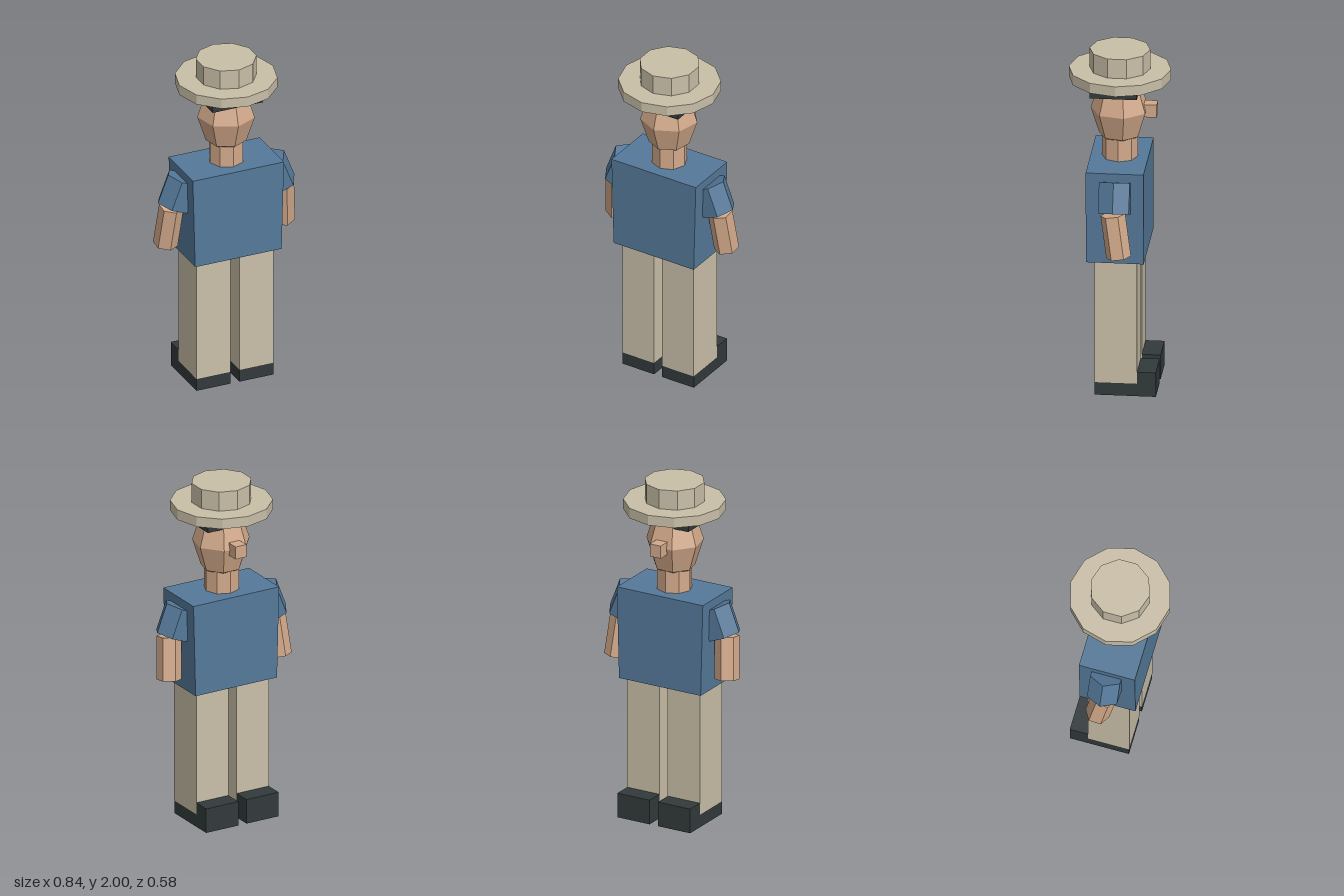
import * as THREE from 'three';

const paint = (name, color) => {
  const m = new THREE.MeshStandardMaterial({ color, flatShading: true });
  m.name = name;
  return m;
};

export function createModel() {
  const group = new THREE.Group();
  const beige = paint('beige cloth', 0xc9bfa8);
  const blue = paint('blue shirt', 0x55799a);
  const skin = paint('skin', 0xd3aa8b);
  const dark = paint('dark hair and shoes', 0x323a3b);

  const add = (name, geometry, material, x, y, z) => {
    const mesh = new THREE.Mesh(geometry, material);
    mesh.name = name;
    mesh.position.set(x, y, z);
    group.add(mesh);
    return mesh;
  };
  // box given by its minimum and maximum corners
  const box = (name, material, [x0, y0, z0], [x1, y1, z1]) =>
    add(name, new THREE.BoxGeometry(x1 - x0, y1 - y0, z1 - z0), material,
      (x0 + x1) / 2, (y0 + y1) / 2, (z0 + z1) / 2);
  const prism = (r, h, sides, turn = 0) => new THREE.CylinderGeometry(r, r, h, sides).rotateY(turn);

  // torso, slightly narrower at the hem
  const torso = new THREE.BoxGeometry(0.56, 0.545, 0.325);
  const p = torso.attributes.position;
  for (let i = 0; i < p.count; i++) if (p.getY(i) < 0) p.setX(i, p.getX(i) * 0.95);
  torso.computeVertexNormals();
  add('torso', torso, blue, 0, 1.0825, 0.002);

  // neck, head, nose and hair; the face looks along -z
  add('neck', prism(0.1, 0.2, 8), skin, 0, 1.42, 0);
  const head = new THREE.SphereGeometry(0.165, 7, 4).rotateY(Math.PI / 2).scale(1, 1.29, 1);
  add('head', head, skin, 0, 1.64, 0);
  box('nose', skin, [-0.035, 1.605, -0.21], [0.035, 1.68, -0.13]);
  box('hair', dark, [-0.155, 1.755, -0.11], [0.155, 1.83, 0.155]);

  // hat
  add('hatBrim', prism(0.288, 0.06, 12), beige, 0, 1.855, 0);
  add('hatCrown', prism(0.171, 0.12, 10), beige, 0, 1.94, 0);

  for (const s of [-1, 1]) {
    const side = s > 0 ? 'left' : 'right';
    // arms lean outward, forearms swing forward
    const sleeve = add(side + 'Sleeve', prism(0.1, 0.176, 6, Math.PI / 2), blue, s * 0.295, 1.215, 0);
    sleeve.rotation.z = s * 0.37;
    const forearm = add(side + 'Forearm', prism(0.07, 0.25, 6), skin, s * 0.35, 1.01, -0.012);
    forearm.rotation.set(0.14, 0, s * 0.085);

    // legs and shoes
    const a = s > 0 ? 0.027 : -0.237, b = s > 0 ? 0.237 : -0.027;
    box(side + 'Leg', beige, [a, 0.075, -0.12], [b, 0.82, 0.12]);
    box(side + 'ShoeHeel', dark, [a, 0, -0.12], [b, 0.075, 0.118]);
    box(side + 'ShoeToe', dark, [a, 0, -0.226], [b, 0.145, -0.12]);
  }
  return group;
}
